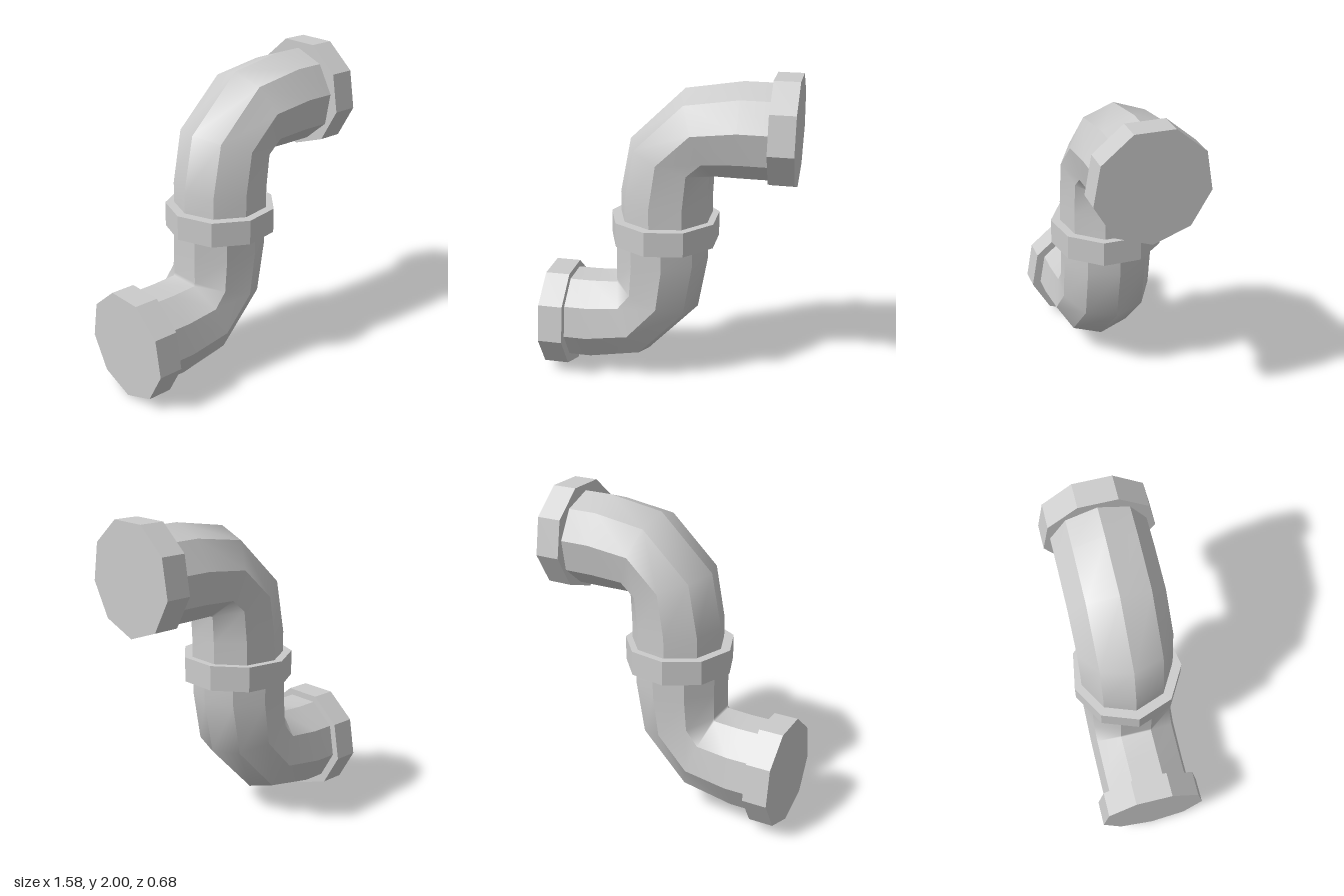
import * as THREE from 'three';

const SIDES = 9;
const material = new THREE.MeshStandardMaterial({ color: 0xcccccc });
const flatMaterial = new THREE.MeshStandardMaterial({ color: 0xcccccc, flatShading: true });

// Elbow swept in the xy plane: stations are [x, y, outward angle in degrees, in-plane radius].
// Each facet owns its vertices, so the pipe is creased around and smooth along its length.
function elbow(name, stations) {
  const zRadius = 0.293, zOffset = -0.005;
  const positions = [], index = [];
  for (let j = 0; j < SIDES; j++) {
    const base = positions.length / 3;
    stations.forEach(([x, y, degrees, radius], i) => {
      const angle = THREE.MathUtils.degToRad(degrees);
      for (const k of [j, j + 1]) {
        const phi = (k / SIDES) * Math.PI * 2;
        const out = radius * Math.cos(phi);
        positions.push(
          x + out * Math.cos(angle),
          y + out * Math.sin(angle),
          zOffset + zRadius * Math.sin(phi)
        );
      }
      if (i > 0) {
        const a = base + (i - 1) * 2, b = a + 1, c = a + 2, d = a + 3;
        index.push(a, c, b, b, c, d);
      }
    });
  }
  const geometry = new THREE.BufferGeometry();
  geometry.setAttribute('position', new THREE.Float32BufferAttribute(positions, 3));
  geometry.setIndex(index);
  geometry.computeVertexNormals();
  const mesh = new THREE.Mesh(geometry, material);
  mesh.name = name;
  return mesh;
}

// Nine-sided collar with one corner pointing to -x before it is turned
function collar(name, x, y, turn = 0) {
  const geometry = new THREE.CylinderGeometry(0.345, 0.345, 0.156, SIDES, 1, false, -Math.PI / 2);
  const mesh = new THREE.Mesh(geometry, flatMaterial);
  mesh.name = name;
  mesh.position.set(x, y, 0);
  mesh.rotation.z = turn;
  return mesh;
}

export function createModel() {
  const group = new THREE.Group();
  group.name = 'pipe';

  // Lower elbow, from the low end up to the middle collar
  group.add(elbow('lowerElbow', [
    [-0.66, 0.353, -90, 0.293],
    [-0.49, 0.353, -90, 0.293],
    [-0.234, 0.391, -70, 0.279],
    [-0.074, 0.569, -20, 0.279],
    [-0.043, 0.82, 0, 0.293],
    [-0.043, 1.01, 0, 0.293],
  ]));

  // Upper elbow, from the high end down to the middle collar
  group.add(elbow('upperElbow', [
    [0.66, 1.667, 90, 0.293],
    [0.45, 1.667, 90, 0.293],
    [0.194, 1.64, 110, 0.279],
    [0.02, 1.476, 160, 0.279],
    [-0.017, 1.22, 180, 0.293],
    [-0.017, 1.01, 180, 0.293],
  ]));

  // Collars at both ends and at the joint
  group.add(
    collar('lowerEndCollar', -0.711, 0.345, Math.PI / 2),
    collar('middleCollar', -0.025, 1.013),
    collar('upperEndCollar', 0.711, 1.675, Math.PI / 2)
  );
  return group;
}
